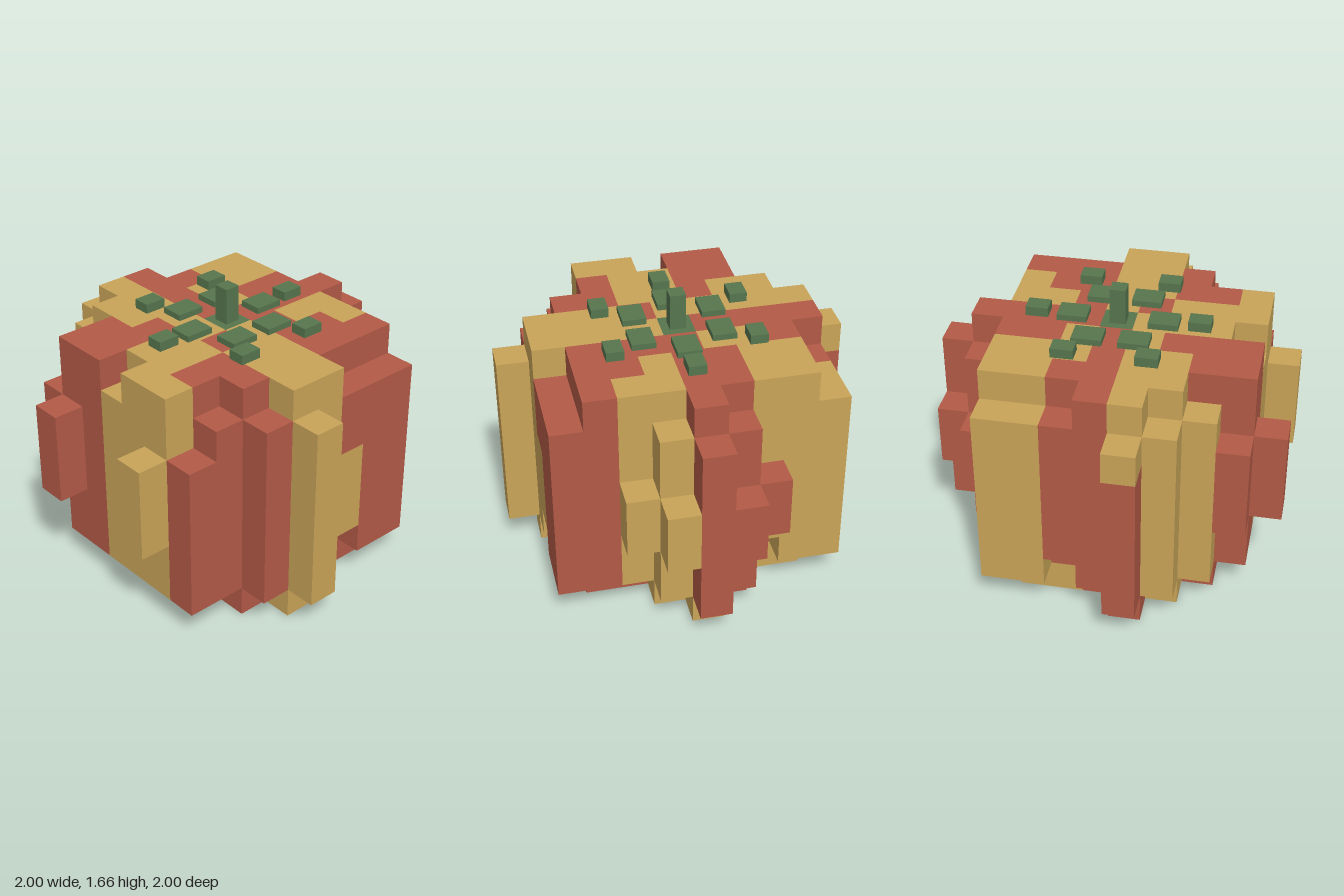
import * as THREE from 'three';
import { mergeGeometries } from 'three/addons/utils/BufferGeometryUtils.js';

const N = 11, LAYERS = 8, U = 2 / N;

// Column maps: one string per row from back to front, one character per column along x.
// Colours: t = tan, r = red, g = green
const COLOUR = [
  '....t......',
  '...ttrrtt..',
  '.rtttrrtt..',
  'rrrttrtttr.',
  '.rrrtrtrrrr',
  '.ttttgrrrrr',
  '.tttrtrtttt',
  'ttrrttrrtt.',
  '.rrrttrrr..',
  '...rttrrr..',
  '....t......',
];
// First empty layer above each column
const TOP = [
  '....7......',
  '...788777..',
  '.67888888..',
  '6888888885.',
  '.8888888875',
  '.7888888887',
  '.8888888875',
  '6888888885.',
  '.67888888..',
  '...788777..',
  '....7......',
];
// Lowest filled layer of each column
const BASE = [
  '....1......',
  '...101211..',
  '.31000001..',
  '3100000023.',
  '.1000000013',
  '.1000000001',
  '.1000000013',
  '3100000013.',
  '.11000001..',
  '...101211..',
  '....1......',
];
// Colours of the bottom layer
const FLOOR = [
  '...........',
  '....r......',
  '...ttrtt...',
  '..rttrtt...',
  '..rrtttrr..',
  '..tttttttt.',
  '..tttttrt..',
  '..trttrr...',
  '...rtttr...',
  '....t......',
  '...........',
];

function voxel(i, j, k) {
  if (i < 0 || k < 0 || i >= N || k >= N || j < 0 || j >= LAYERS) return null;
  const c = COLOUR[k][i];
  if (c === '.' || j < +BASE[k][i] || j >= +TOP[k][i]) return null;
  if (j === 0) return FLOOR[k][i];
  if (i === 4 && k === 0) return j === 6 ? 't' : 'r';          // two-tone back ridge
  if (i === 6 && k === 9) return j < 5 ? 't' : 'r';            // two-tone front ridge
  if (i === 7 && k === 3 && j === 1) return 'r';               // inside of the side notch
  return c;
}

// The six face directions, each with the turn that points a plane that way
const Q = Math.PI / 2;
const SIDES = [
  [1, 0, 0, 0, Q], [-1, 0, 0, 0, -Q], [0, 1, 0, -Q, 0],
  [0, -1, 0, Q, 0], [0, 0, 1, 0, 0], [0, 0, -1, 0, 2 * Q],
];

// All exposed faces of one colour
function skin(colour) {
  const faces = [];
  for (let k = 0; k < N; k++) for (let j = 0; j < LAYERS; j++) for (let i = 0; i < N; i++) {
    if (voxel(i, j, k) !== colour) continue;
    for (const [dx, dy, dz, rx, ry] of SIDES) {
      if (voxel(i + dx, j + dy, k + dz)) continue;
      faces.push(new THREE.PlaneGeometry(U, U).rotateX(rx).rotateY(ry).translate(
        (i + 0.5 + dx / 2) * U - 1, (j + 0.5 + dy / 2) * U, (k + 0.5 + dz / 2) * U - 1));
    }
  }
  return mergeGeometries(faces);
}

export function createModel() {
  const group = new THREE.Group();
  const material = (name, color) => {
    const m = new THREE.MeshStandardMaterial({ color });
    m.name = name;
    return m;
  };
  const tan = material('tan', 0xc9a458);
  const red = material('brick red', 0xb35a46);
  const green = material('leaf green', 0x56754e);

  const add = (name, geometry, mat) => {
    const mesh = new THREE.Mesh(geometry, mat);
    mesh.name = name;
    group.add(mesh);
    return mesh;
  };

  // Blocky striped body
  add('tanSkin', skin('t'), tan);
  add('redSkin', skin('r'), red);
  add('crownPatch', skin('g'), green);

  // Stem and two rings of leaf blocks
  const top = LAYERS * U;
  const block = (name, x, z, w, h, d) =>
    add(name, new THREE.BoxGeometry(w, h, d), green).position.set(x, top + h / 2, z);
  block('stem', 0, 0, 0.09, 0.21, 0.09);
  for (let n = 0; n < 6; n++) {
    const a = n * Math.PI / 3, c = Math.cos(a), s = Math.sin(a);
    block('innerLeaf', 0.255 * c, 0.255 * s * 1.02, 0.168, 0.035, 0.136);
    block('leafTip', 0.455 * c, 0.455 * s * 1.01, 0.127, 0.055, 0.1);
  }
  return group;
}
